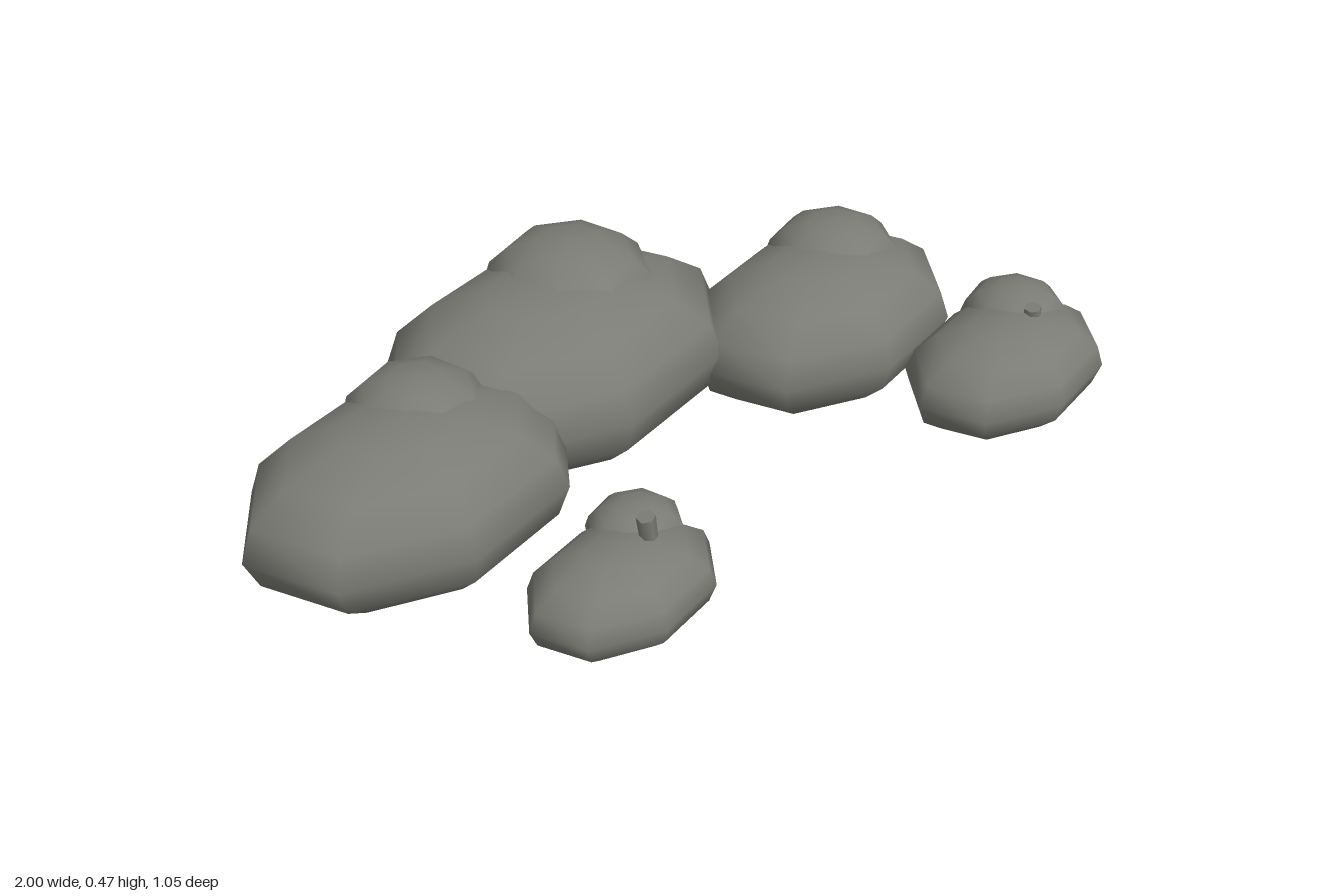
import * as THREE from 'three';

export function createModel() {
  const group = new THREE.Group();
  group.name = 'rockCluster';
  const stone = new THREE.MeshStandardMaterial({ color: 0x7c7c76 });
  stone.name = 'stone grey';

  // Smooth eight-sided ellipsoid shared by every rock
  const rockGeometry = new THREE.SphereGeometry(1, 8, 8);
  function addRock(name, position, radii) {
    const rock = new THREE.Mesh(rockGeometry, stone);
    rock.name = name;
    rock.position.set(...position);
    rock.scale.set(...radii);
    group.add(rock);
  }

  // Each boulder carries a smaller rock on its rear shoulder: [centre, radii]
  const boulders = [
    { name: 'rightBoulder', body: [[-0.62, 0.197, -0.055], [0.38, 0.195, 0.265]], cap: [[-0.545, 0.295, -0.13], [0.165, 0.115, 0.17]] },
    { name: 'rearBoulder', body: [[-0.145, 0.22, -0.23], [0.44, 0.216, 0.3]], cap: [[-0.055, 0.34, -0.295], [0.2, 0.13, 0.205]] },
    { name: 'leftBoulder', body: [[0.47, 0.183, -0.038], [0.35, 0.18, 0.247]], cap: [[0.56, 0.28, -0.105], [0.165, 0.108, 0.16]] },
    { name: 'frontRightRock', body: [[-0.39, 0.12, 0.372], [0.22, 0.112, 0.153]], cap: [[-0.305, 0.175, 0.3], [0.107, 0.07, 0.1]] },
    { name: 'frontLeftRock', body: [[0.73, 0.139, 0.315], [0.265, 0.134, 0.185]], cap: [[0.82, 0.21, 0.245], [0.125, 0.08, 0.12]] },
  ];
  for (const { name, body, cap } of boulders) {
    addRock(name, ...body);
    addRock(name + 'Cap', ...cap);
  }

  // Short stubs standing on the two front rocks
  const stubs = [
    ['rightStub', -0.327, 0.236, 0.375],
    ['leftStub', 0.798, 0.24, 0.322],
  ];
  for (const [name, x, y, z] of stubs) {
    const stub = new THREE.Mesh(new THREE.CylinderGeometry(0.02, 0.018, 0.085, 6), stone);
    stub.name = name;
    stub.position.set(x, y, z);
    stub.rotation.z = 0.12;
    group.add(stub);
  }
  return group;
}
